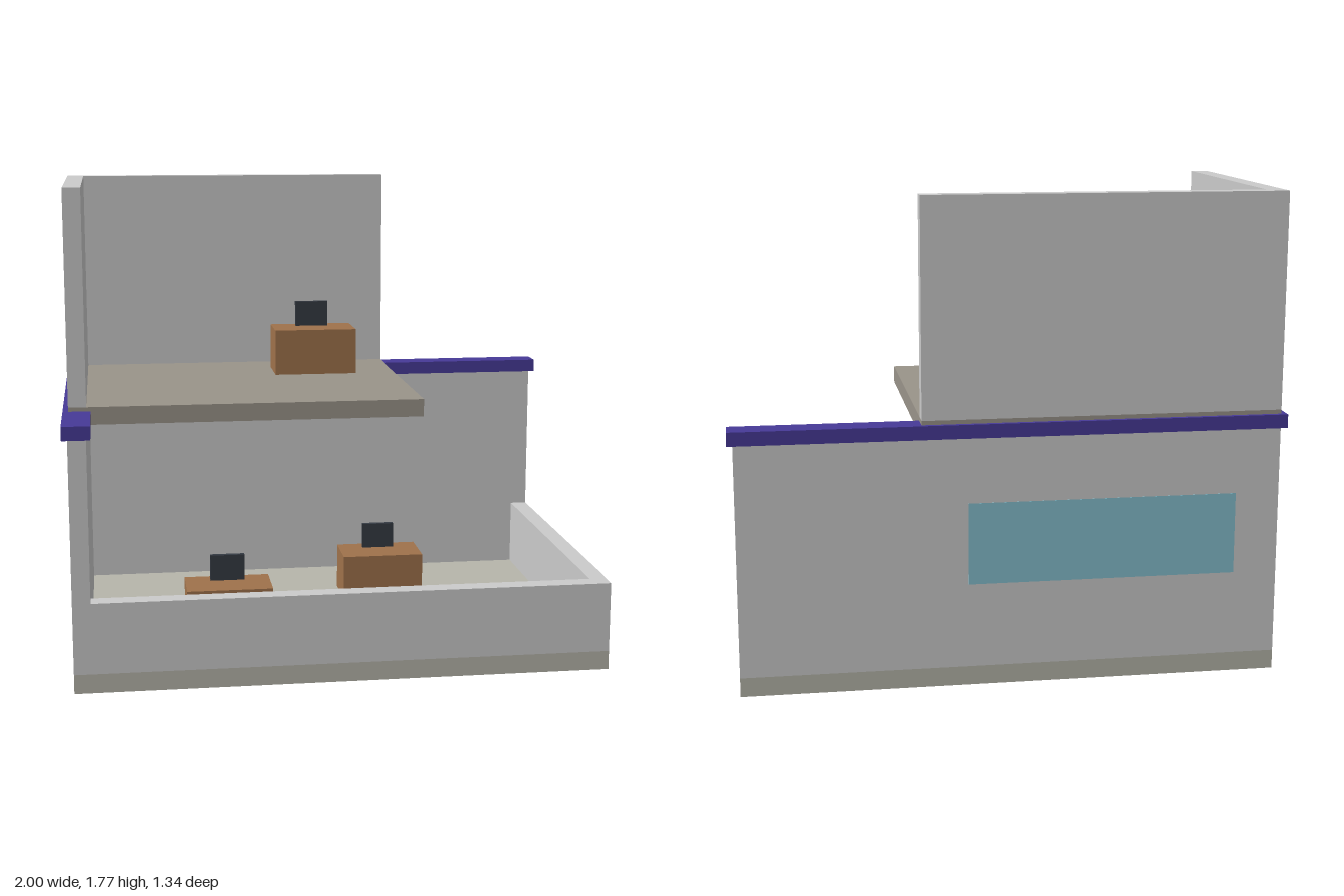
import * as THREE from 'three';

const mat = (color) => new THREE.MeshStandardMaterial({ color });

export function createModel() {
  const model = new THREE.Group();
  model.name = 'officeCutaway';

  const wall = mat(0xcccccc);
  const baseFloor = mat(0xb7b6ab);
  const upperFloorMat = mat(0x9a948a);
  const trim = mat(0x473a98);
  const wood = mat(0x9f724b);
  const dark = mat(0x343a42);
  const glass = mat(0x86c0cf);

  // Box given by its extents along each axis
  function box(name, material, [x0, x1], [y0, y1], [z0, z1], parent = model) {
    const mesh = new THREE.Mesh(new THREE.BoxGeometry(x1 - x0, y1 - y0, z1 - z0), material);
    mesh.position.set((x0 + x1) / 2, (y0 + y1) / 2, (z0 + z1) / 2);
    mesh.name = name;
    parent.add(mesh);
    return mesh;
  }

  const X = 0.98, Z = 0.655, T = 0.065; // outer half sizes, wall thickness
  const floorTop = 0.07, lowTop = 0.33, wallTop = 0.92;
  const upperTop = 0.985, roof = 1.77;
  const upperX = 0.325, upperZ = 0.39; // open edges of the upper storey

  // Ground storey: two full walls, two cut-away walls
  box('groundFloor', baseFloor, [-X, X], [0, floorTop], [-Z, Z]);
  box('backWall', wall, [-X, X], [floorTop, wallTop], [-Z, -Z + T]);
  box('rightWall', wall, [-X, -X + T], [floorTop, wallTop], [-Z + T, Z]);
  box('lowFrontWall', wall, [-X + T, X], [floorTop, lowTop], [Z - T, Z]);
  box('lowLeftWall', wall, [X - T, X], [floorTop, lowTop], [-Z + T, Z - T]);

  // Coloured band capping the full walls
  box('backBand', trim, [-1, 1], [wallTop, 0.97], [-0.672, -0.578]);
  box('rightBand', trim, [-1, -0.9], [wallTop, 0.97], [-0.578, 0.672]);

  // Upper storey
  box('upperFloor', upperFloorMat, [-X, upperX], [wallTop, upperTop], [-Z, upperZ]);
  box('upperBackWall', wall, [-X, upperX], [upperTop, roof], [-Z, -Z + T]);
  box('upperRightWall', wall, [-X, -X + T], [upperTop, roof], [-Z + T, upperZ]);

  // Window on the outside of the back wall
  box('backWindow', glass, [-0.82, 0.16], [0.38, 0.68], [-Z - 0.001, -Z + 0.01]);

  // Desks with screens
  function desk(name, x, y, z) {
    const group = new THREE.Group();
    group.name = name;
    group.position.set(x, y, z);
    box('deskBlock', wood, [-0.163, 0.163], [0, 0.18], [-0.098, 0.098], group);
    box('screen', dark, [-0.066, 0.066], [0.18, 0.28], [-0.056, -0.036], group);
    model.add(group);
  }
  desk('upperDesk', 0, upperTop, -0.332);
  desk('leftDesk', 0.26, floorTop, -0.198);
  desk('rightDesk', -0.395, floorTop, 0.196);

  return model;
}
